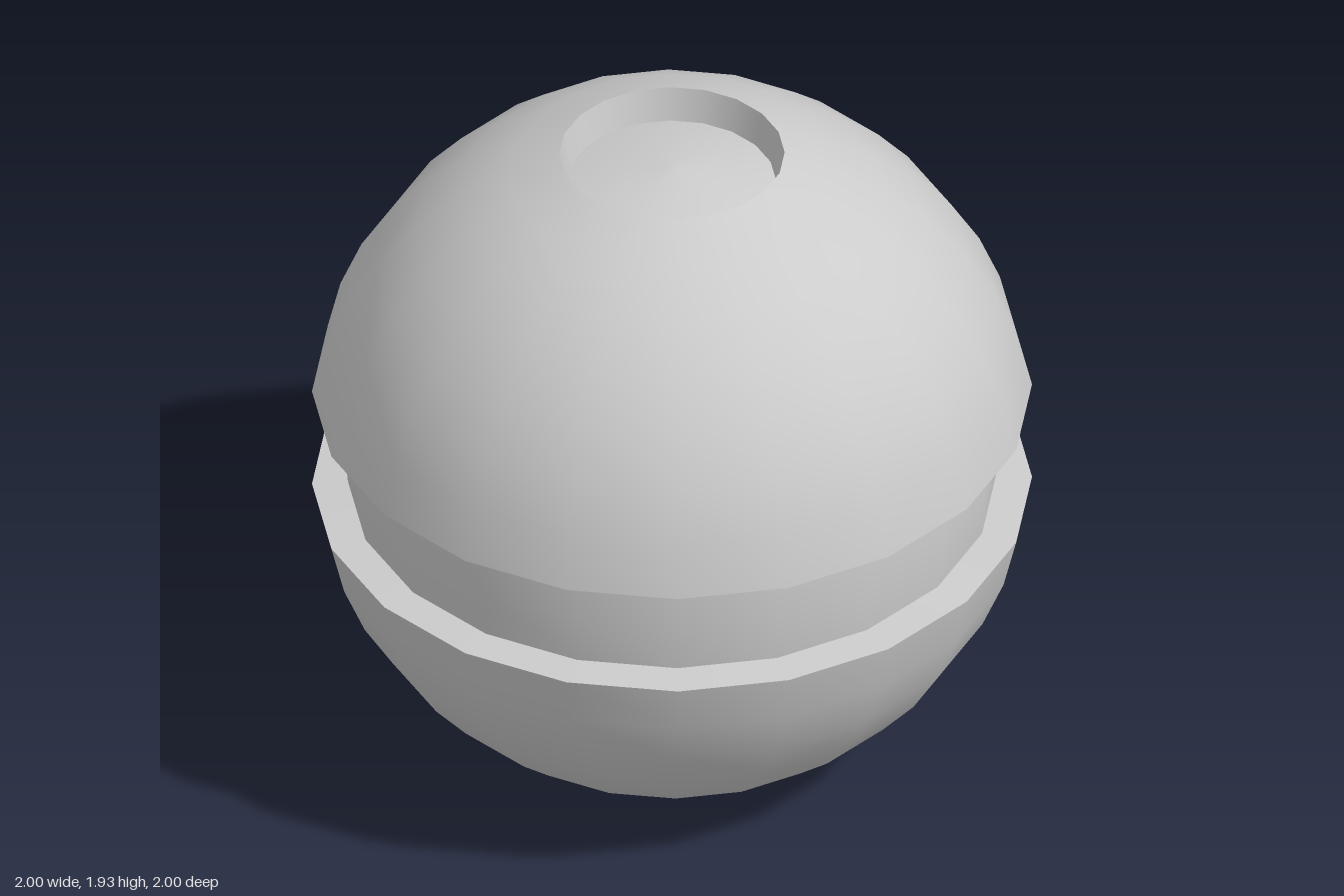
import * as THREE from 'three';

const SIDES = 20;
const STEP = Math.PI / 20;             // 9 degrees of latitude per ring
const R = 1 / Math.cos(STEP);          // sphere radius, widest rim at 1
const DEPTH = 0.1;                     // depth of the groove and end recesses
const CY = R * Math.sin(8 * STEP);     // centre height

// Point on the sphere at a ring number (0 = equator, 10 = pole)
const ring = (i) => new THREE.Vector2(Math.max(0, R * Math.cos(i * STEP)), R * Math.sin(i * STEP));

// Same point pushed inward along the latitude of ring n
const sunk = (i, n = i) => ring(i).sub(
  new THREE.Vector2(Math.cos(n * STEP), Math.sin(n * STEP)).multiplyScalar(DEPTH)).max(new THREE.Vector2(0, -9));

export function createModel() {
  const group = new THREE.Group();
  group.name = 'groovedBall';
  const material = new THREE.MeshStandardMaterial({ color: 0xcccccc });

  const addRing = (name, points) => {
    const mesh = new THREE.Mesh(new THREE.LatheGeometry(points, SIDES), material);
    mesh.name = name;
    mesh.position.y = CY;
    group.add(mesh);
  };

  // Sunken band round the equator
  addRing('equatorBand', [sunk(-1, -0.5), sunk(0), sunk(1, 0.5)]);

  // Profiles for the upper half; the lower half mirrors them
  const halfParts = {
    GrooveWall: [sunk(1, 0.5), ring(1)],
    Shell: [1, 2, 3, 4, 5, 6, 7, 8].map(ring),
    HoleWall: [ring(8), sunk(8, 8.5)],
    HoleFloor: [sunk(8, 8.5), sunk(9), sunk(10)],
  };
  for (const [name, points] of Object.entries(halfParts)) {
    addRing('upper' + name, points);
    addRing('lower' + name, points.map((p) => new THREE.Vector2(p.x, -p.y)).reverse());
  }
  return group;
}
